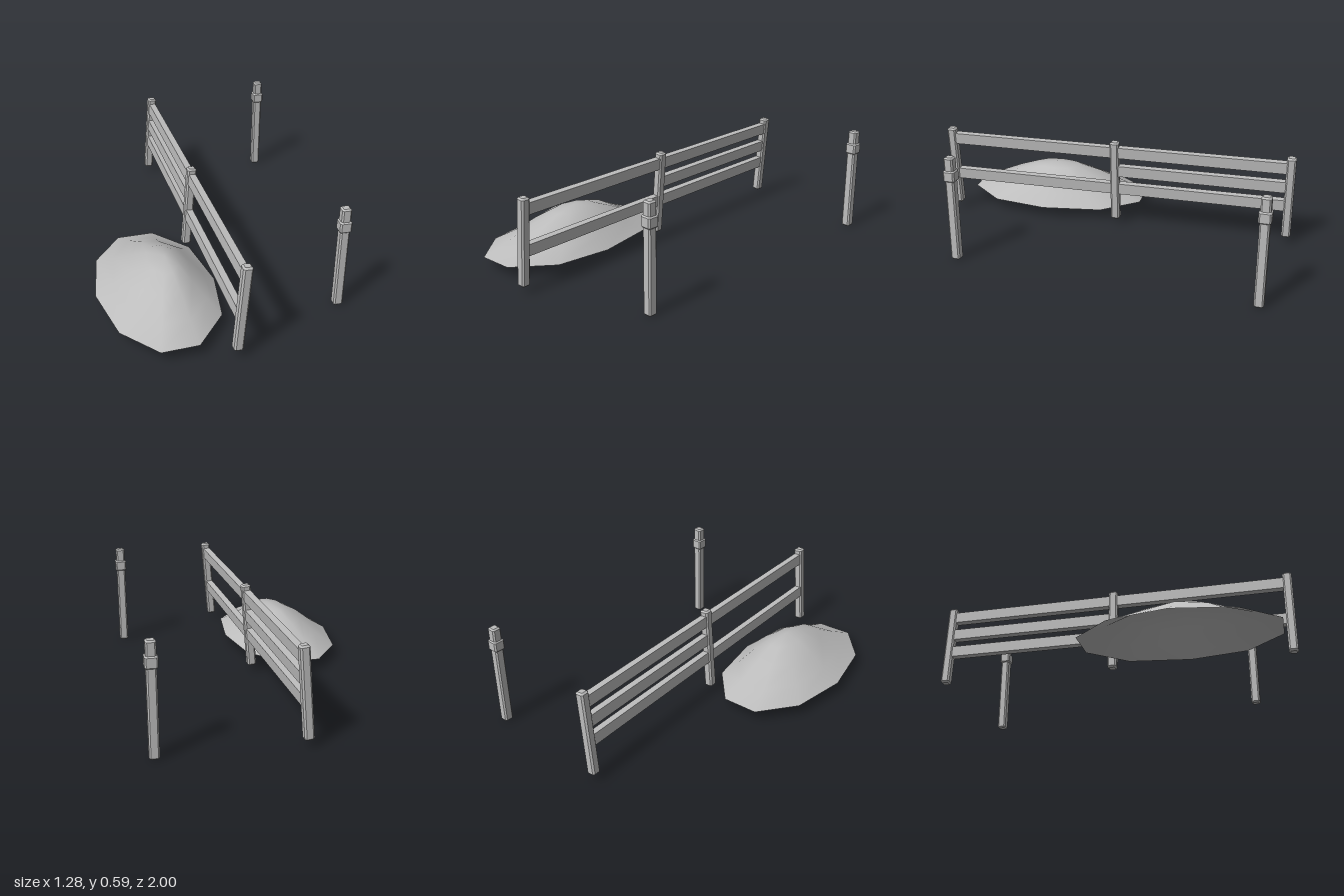
import * as THREE from 'three';
import { mergeVertices } from 'three/addons/utils/BufferGeometryUtils.js';

const grey = new THREE.MeshStandardMaterial({ color: 0xbdbdbd, side: THREE.DoubleSide });
grey.name = 'plain grey';

function addMesh(parent, name, geometry, x, y, z) {
  const mesh = new THREE.Mesh(geometry, grey);
  mesh.name = name;
  mesh.position.set(x, y, z);
  parent.add(mesh);
  return mesh;
}

// Upright square block with all edges chamfered by b, centred on its middle
function chamferedBlock(w, h, b) {
  const r = w / 2 - b, c = r - b * 0.4;
  const shape = new THREE.Shape([
    [c, -r], [r, -c], [r, c], [c, r], [-c, r], [-r, c], [-r, -c], [-c, -r],
  ].map(([x, y]) => new THREE.Vector2(x, y)));
  const g = new THREE.ExtrudeGeometry(shape, {
    depth: h - 2 * b, bevelEnabled: true, bevelSegments: 1, bevelSize: b, bevelThickness: b,
  });
  g.translate(0, 0, -(h - 2 * b) / 2);
  g.rotateX(-Math.PI / 2);
  return g;
}

// Leaning fence: three posts, two rails in the front bay and three in the back
function makeFence() {
  const fence = new THREE.Group();
  fence.name = 'fence';
  const midY = 0.2775, half = 0.976;
  fence.position.set(-0.05, midY, 0);
  fence.rotation.set(0, 0.059, -0.075, 'YXZ');
  const post = chamferedBlock(0.05, 0.484, 0.009);
  for (const z of [-half, 0, half]) addMesh(fence, 'fencePost', post, 0, 0, z);
  const rail = new THREE.BoxGeometry(0.038, 0.064, half);
  const bays = [[half / 2, [0.457, 0.232]], [-half / 2, [0.457, 0.343, 0.232]]];
  for (const [z, heights] of bays)
    for (const y of heights) addMesh(fence, 'fenceRail', rail, 0, y - midY, z);
  return fence;
}

// Free-standing post with a collar near its top
function makeMarker(z) {
  const marker = new THREE.Group();
  marker.name = 'collaredPost';
  marker.position.set(0.605, 0, z);
  addMesh(marker, 'shaft', chamferedBlock(0.05, 0.585, 0.008), 0, 0.2925, 0);
  addMesh(marker, 'collar', chamferedBlock(0.063, 0.064, 0.008), 0, 0.482, 0);
  return marker;
}

// Mound: rings shrinking from a ten-sided outline up to a peak
function makeMound() {
  const outline = [
    [-0.45, -0.08], [-0.25, -0.09], [-0.07, 0.1], [0, 0.43], [-0.03, 0.74],
    [-0.19, 0.95], [-0.385, 0.965], [-0.56, 0.775], [-0.64, 0.45], [-0.6, 0.125],
  ];
  const rings = [[1, 0.066], [0.74, 0.122], [0.49, 0.19], [0.25, 0.24]];
  const cx = -0.27, cz = 0.44, n = outline.length;
  const pos = [], index = [];
  rings.forEach(([s, y], k) => outline.forEach(([x, z], i) => {
    const dent = k === 1 || k === 2 ? 0.006 * Math.sin(i * 2.3 + k) : 0;
    pos.push(cx + (x - cx) * s, y + dent, cz + (z - cz) * s);
  }));
  pos.push(cx, 0.26, cz);
  for (let k = 0; k < rings.length; k++) {
    for (let i = 0; i < n; i++) {
      const a = k * n + i, b = k * n + (i + 1) % n;
      if (k === rings.length - 1) index.push(a, rings.length * n, b);
      else index.push(a, a + n, b, b, a + n, b + n);
    }
  }
  const g = new THREE.BufferGeometry();
  g.setAttribute('position', new THREE.Float32BufferAttribute(pos, 3));
  g.setIndex(index);
  // Keep the faces pointing up and outwards
  const flipped = [];
  for (let i = 0; i < index.length; i += 3) flipped.push(index[i], index[i + 2], index[i + 1]);
  const p = (i) => new THREE.Vector3().fromArray(pos, i * 3);
  const up = p(index[1]).sub(p(index[0])).cross(p(index[2]).sub(p(index[0]))).y;
  if (up < 0) g.setIndex(flipped);
  const smooth = mergeVertices(g);
  smooth.computeVertexNormals();
  return smooth;
}

export function createModel() {
  const model = new THREE.Group();
  model.name = 'fenceAndMound';
  model.add(makeFence(), makeMarker(0.685), makeMarker(-0.94));
  addMesh(model, 'mound', makeMound(), 0, 0, 0);
  return model;
}
